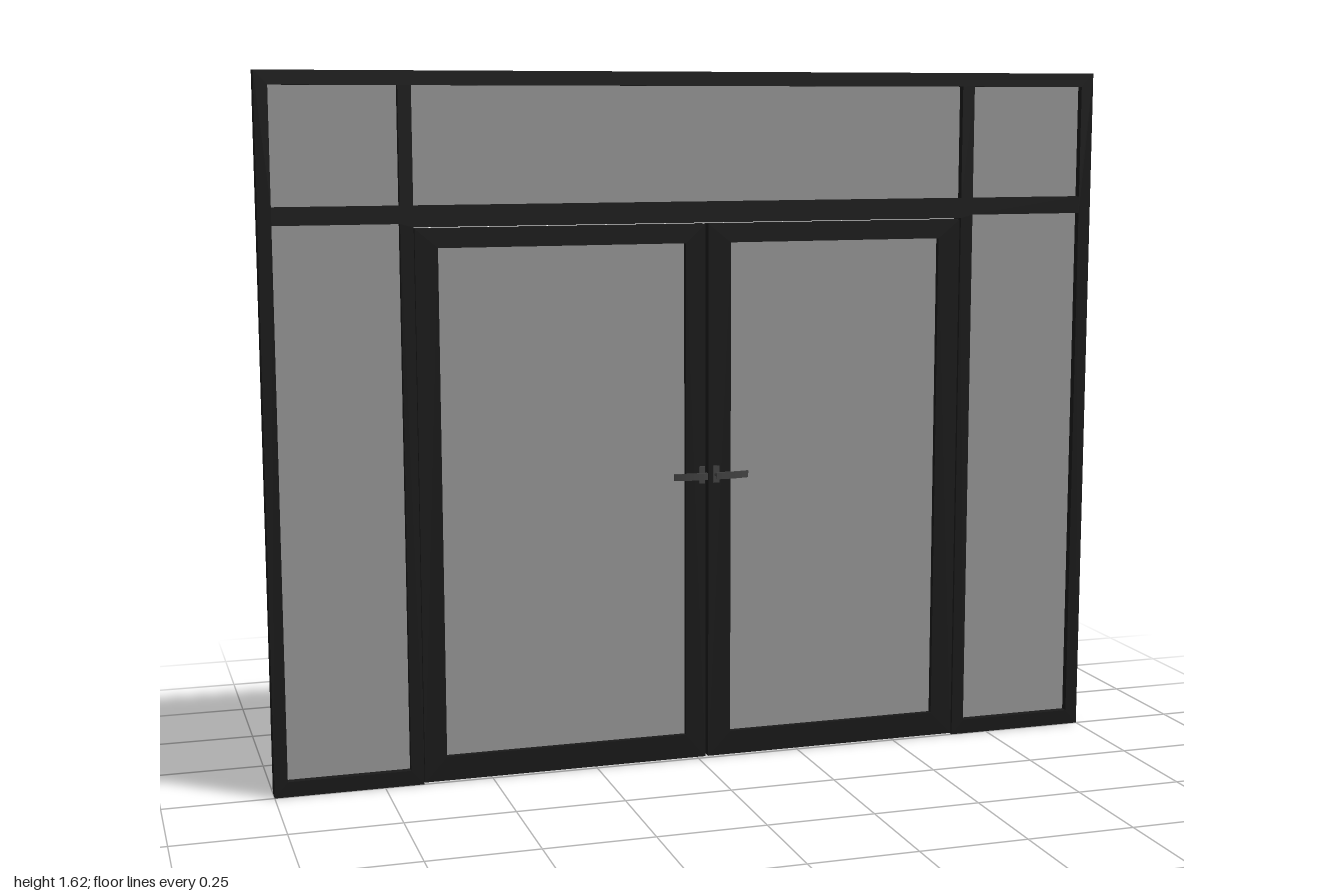
import * as THREE from 'three';

const frameMat = new THREE.MeshStandardMaterial({ color: 0x1a1a1a });
const glassMat = new THREE.MeshStandardMaterial({ color: 0x999999 });
const handleMat = new THREE.MeshStandardMaterial({ color: 0x444444 });

// Rectangles are [x0, y0, x1, y1]
const corners = ([x0, y0, x1, y1]) =>
  [[x0, y0], [x1, y0], [x1, y1], [x0, y1]].map(([x, y]) => new THREE.Vector2(x, y));

function add(parent, name, geometry, material, x = 0, y = 0, z = 0) {
  const mesh = new THREE.Mesh(geometry, material);
  mesh.name = name;
  mesh.position.set(x, y, z);
  parent.add(mesh);
  return mesh;
}

// Flat outline with rectangular openings, extruded from z0 to z1
function addFrame(parent, name, outline, holes, z0, z1) {
  const shape = new THREE.Shape(outline);
  for (const h of holes) shape.holes.push(new THREE.Path(corners(h)));
  const geo = new THREE.ExtrudeGeometry(shape, { depth: z1 - z0, bevelEnabled: false });
  add(parent, name, geo, frameMat, 0, 0, z0);
}

function addGlass(parent, name, [x0, y0, x1, y1], z) {
  const geo = new THREE.BoxGeometry(x1 - x0 + 0.01, y1 - y0 + 0.01, 0.004);
  add(parent, name, geo, glassMat, (x0 + x1) / 2, (y0 + y1) / 2, z);
}

// Lever handle pointing to +x, its neck at the origin
function makeHandle(name) {
  const handle = new THREE.Group();
  handle.name = name;
  add(handle, 'handlePlate', new THREE.BoxGeometry(0.014, 0.04, 0.005), handleMat, 0, 0, 0.0135);
  const neck = new THREE.CylinderGeometry(0.005, 0.005, 0.022, 12).rotateX(Math.PI / 2);
  add(handle, 'handleNeck', neck, handleMat, 0, 0, 0.025);
  // Gently bowed lever, drawn in plan and extruded upwards
  const plan = new THREE.Shape();
  plan.moveTo(-0.006, -0.033);
  plan.quadraticCurveTo(0.04, -0.037, 0.073, -0.028);
  plan.lineTo(0.073, -0.032);
  plan.quadraticCurveTo(0.04, -0.043, -0.006, -0.04);
  plan.closePath();
  const lever = new THREE.ExtrudeGeometry(plan, { depth: 0.016, bevelEnabled: false, curveSegments: 8 });
  add(handle, 'handleLever', lever.rotateX(-Math.PI / 2), handleMat, 0, -0.008, 0);
  return handle;
}

export function createModel() {
  const model = new THREE.Group();
  model.name = 'doubleDoorEntrance';

  // Fixed frame: outer bars, transom and mullions, open at the bottom for the doors
  const outline = [
    [-1, 0], [-0.66, 0], [-0.66, 1.277], [0.658, 1.277], [0.658, 0],
    [1, 0], [1, 1.62], [-1, 1.62],
  ].map(([x, y]) => new THREE.Vector2(x, y));
  const panes = {
    rightSideGlass: [-0.97, 0.035, -0.69, 1.285],
    leftSideGlass: [0.688, 0.035, 0.97, 1.285],
    rightTopGlass: [-0.97, 1.325, -0.69, 1.588],
    middleTopGlass: [-0.66, 1.325, 0.658, 1.588],
    leftTopGlass: [0.688, 1.325, 0.97, 1.588],
  };
  addFrame(model, 'fixedFrame', outline, Object.values(panes), -0.04, 0);
  for (const [name, rect] of Object.entries(panes)) addGlass(model, name, rect, -0.02);

  // Two door leaves with a narrow gap between them, recessed in the frame
  const doors = [
    { side: 'right', leaf: [-0.658, 0.003, 0.018, 1.274], pane: [-0.606, 0.06, -0.03, 1.23], x: 0.004, turn: -1 },
    { side: 'left', leaf: [0.025, 0.003, 0.656, 1.274], pane: [0.08, 0.06, 0.602, 1.23], x: 0.039, turn: 1 },
  ];
  for (const { side, leaf, pane, x, turn } of doors) {
    const door = new THREE.Group();
    door.name = side + 'Door';
    addFrame(door, side + 'DoorFrame', corners(leaf), [pane], -0.032, -0.003);
    addGlass(door, side + 'DoorGlass', pane, -0.018);
    const handle = makeHandle(side + 'Handle');
    handle.position.set(x, 0.69, 0);
    handle.scale.x = turn;
    door.add(handle);
    model.add(door);
  }
  return model;
}
